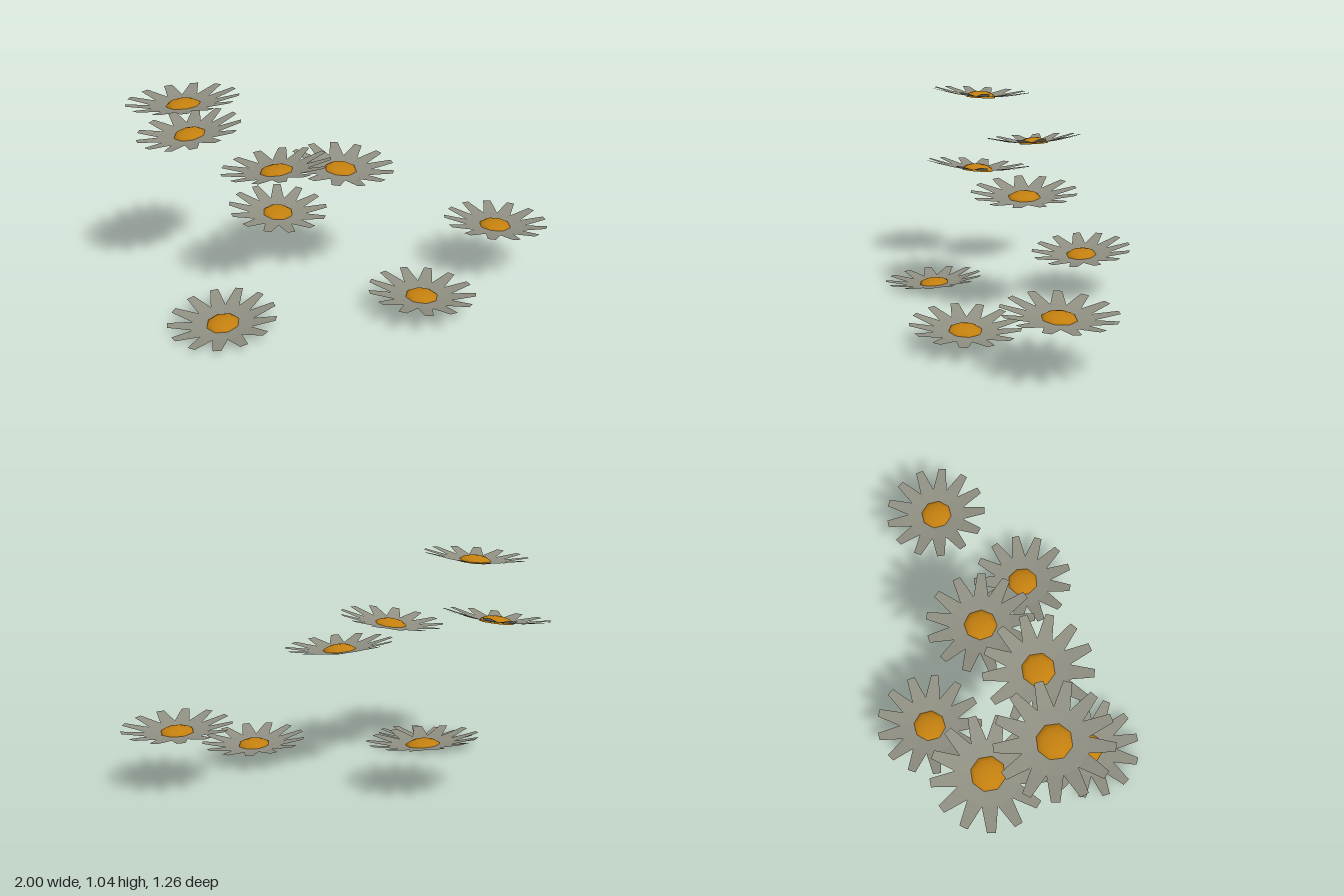
import * as THREE from 'three';

const PETALS = 13;
const petalWhite = new THREE.MeshStandardMaterial({ color: 0x8f8f82, name: 'petal white', flatShading: true, side: THREE.DoubleSide });
const centreOrange = new THREE.MeshStandardMaterial({ color: 0xc4800f, name: 'centre orange' });

// Shallow cup of tapered, blunt petals, joined up to the notch radius
function petalRing() {
  const step = (Math.PI * 2) / PETALS;
  const sections = [ // radius, height, half angle
    [0.055, 0.008, step / 2],
    [0.145, 0.018, step / 2],
    [0.254, 0.04, 0.075],
  ];
  const points = [], index = [];
  for (let i = 0; i < PETALS; i++) {
    const first = points.length / 3;
    for (const [r, y, half] of sections) {
      for (const side of [-1, 1]) {
        const a = i * step + side * half;
        points.push(r * Math.cos(a), y, -r * Math.sin(a));
      }
    }
    for (let s = 0; s < sections.length - 1; s++) {
      const a = first + s * 2;
      index.push(a, a + 2, a + 3, a, a + 3, a + 1);
    }
  }
  const g = new THREE.BufferGeometry();
  g.setAttribute('position', new THREE.Float32BufferAttribute(points, 3));
  g.setIndex(index);
  g.computeVertexNormals();
  return g;
}

// Eight-sided low dome and the flat disc that closes it below
const DOME_RADIUS = 0.081, DOME_BASE = 0.004;
function domeTop() {
  return new THREE.SphereGeometry(DOME_RADIUS, 8, 4, 0, Math.PI * 2, 0, Math.PI / 2)
    .scale(1, 0.4, 1).rotateY(Math.PI / 8).translate(0, DOME_BASE, 0);
}
function domeUnderside() {
  return new THREE.CircleGeometry(DOME_RADIUS, 8)
    .rotateX(Math.PI / 2).rotateY(Math.PI / 8).translate(0, DOME_BASE, 0);
}

export function createModel() {
  const model = new THREE.Group();
  model.name = 'floatingFlowers';
  const parts = [
    ['petals', petalRing(), petalWhite],
    ['flowerCentre', domeTop(), centreOrange],
    ['flowerCentreUnderside', domeUnderside(), centreOrange],
  ];

  // x, y, z, slope along x, slope along z, direction of one petal in degrees
  const flowers = [
    [-0.742, 0.725, -0.171, 0.12, -0.04, 88],
    [-0.343, 0.208, -0.379, -0.07, -0.07, 94],
    [-0.722, 0.98, 0.114, 0.055, 0.06, 85],
    [-0.312, 0.672, 0.153, 0.1, 0.08, 86],
    [-0.566, 0.004, 0.377, 0.07, -0.06, -90],
    [-0.02, 0.592, -0.054, -0.085, -0.02, 98],
    [0.358, 0.068, 0.247, -0.06, 0.05, 79],
    [0.746, 0.252, -0.13, -0.04, 0.055, 92],
  ];
  const up = new THREE.Vector3(0, 1, 0);
  flowers.forEach(([x, y, z, slopeX, slopeZ, turn], i) => {
    const flower = new THREE.Group();
    flower.name = `flower${i + 1}`;
    for (const [name, geometry, material] of parts) {
      const mesh = new THREE.Mesh(geometry, material);
      mesh.name = name;
      flower.add(mesh);
    }
    // Turn about its own axis, then lean
    const lean = new THREE.Quaternion().setFromUnitVectors(up, new THREE.Vector3(-slopeX, 1, -slopeZ).normalize());
    const spin = new THREE.Quaternion().setFromAxisAngle(up, THREE.MathUtils.degToRad(turn));
    flower.quaternion.copy(lean).multiply(spin);
    flower.position.set(x, y, z);
    model.add(flower);
  });
  return model;
}
